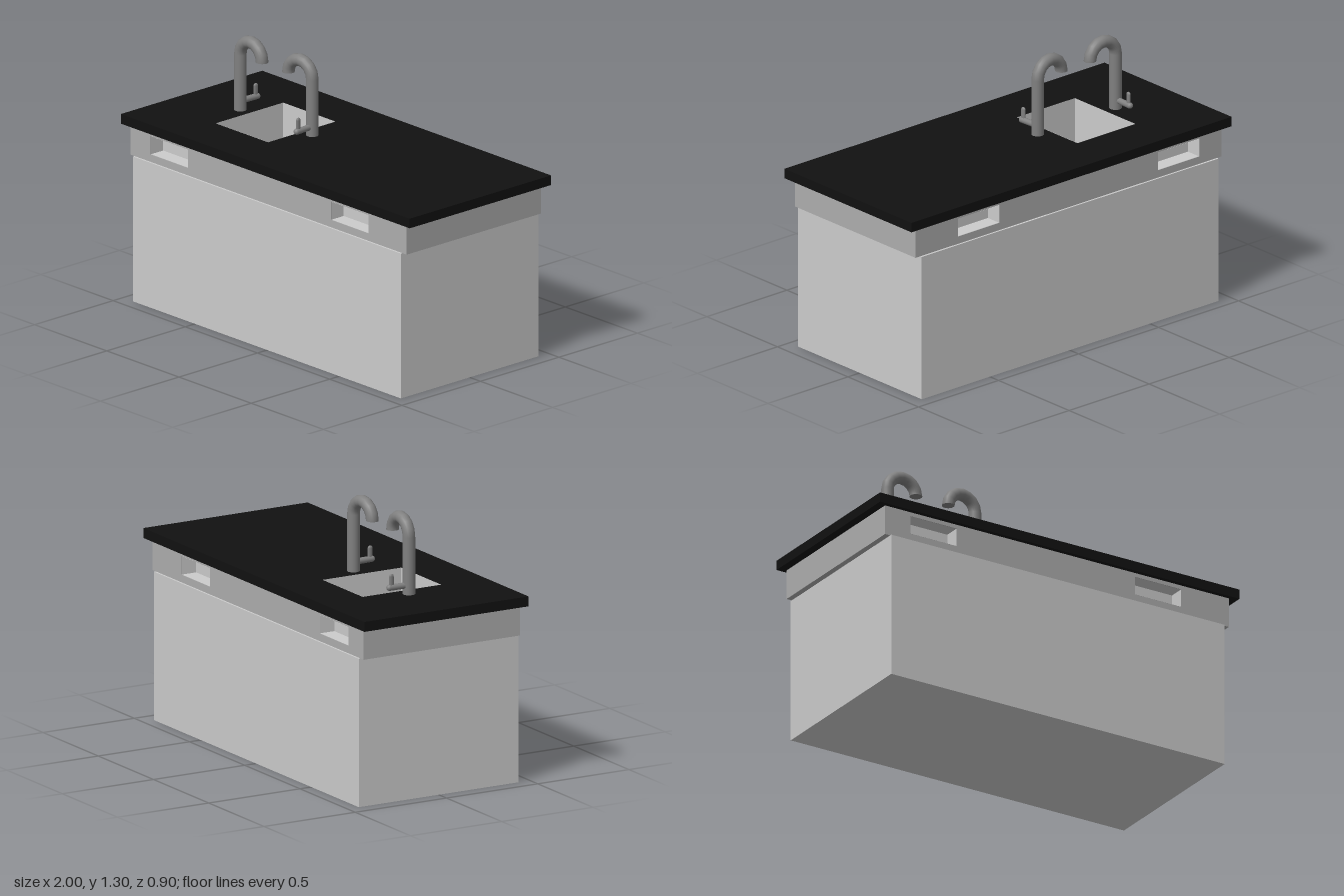
import * as THREE from 'three';

const paint = (color, side = THREE.FrontSide) => new THREE.MeshStandardMaterial({ color, side });
const grey = paint(0xcccccc);
const liner = paint(0xcccccc, THREE.DoubleSide);
const apronGrey = paint(0xadadad);
const black = paint(0x111111);
const metal = paint(0x808080);

const SINK = { x0: -0.605, x1: -0.24, z0: -0.22, z1: 0.212, floor: 0.6 };
const TOP = 0.916, COUNTER = 0.868, BASE = 0.72;

function add(parent, name, geometry, material, x = 0, y = 0, z = 0) {
  const mesh = new THREE.Mesh(geometry, material);
  mesh.name = name;
  mesh.position.set(x, y, z);
  parent.add(mesh);
  return mesh;
}

// Traces a rectangle on a shape or path
function rect(target, x0, x1, y0, y1) {
  target.moveTo(x0, y0).lineTo(x1, y0).lineTo(x1, y1).lineTo(x0, y1).closePath();
  return target;
}

// Horizontal outline with the sink opening cut out
function sinkOutline(x0, x1, halfDepth) {
  const shape = rect(new THREE.Shape(), x0, x1, -halfDepth, halfDepth);
  shape.holes.push(rect(new THREE.Path(), SINK.x0, SINK.x1, -SINK.z1, -SINK.z0));
  return shape;
}

function slab(x0, x1, halfDepth, height) {
  return new THREE.ExtrudeGeometry(sinkOutline(x0, x1, halfDepth), { depth: height, bevelEnabled: false })
    .rotateX(-Math.PI / 2);
}

// Box with its top left off
function openBox(w, h, d) {
  const box = new THREE.BoxGeometry(w, h, d);
  const index = Array.from(box.index.array);
  index.splice(12, 6);
  box.setIndex(index);
  return box;
}

function makeFaucet(name) {
  const faucet = new THREE.Group();
  faucet.name = name;
  const r = 0.03, bend = 0.078, bendY = 0.277;
  add(faucet, 'post', new THREE.CylinderGeometry(r, r, bendY, 20), metal, 0, bendY / 2, 0);
  add(faucet, 'spoutBend', new THREE.TorusGeometry(bend, r, 20, 8, Math.PI), metal, bend, bendY, 0);
  const outlet = add(faucet, 'outlet', new THREE.CircleGeometry(r, 20), metal, 2 * bend, bendY, 0);
  outlet.rotation.x = Math.PI / 2;

  // Side handle with its small upright lever
  const bar = add(faucet, 'handleBar', new THREE.CapsuleGeometry(0.015, 0.09, 4, 14), metal, 0, 0.043, -0.06);
  bar.rotation.x = Math.PI / 2;
  const lever = add(faucet, 'lever', new THREE.CapsuleGeometry(0.013, 0.045, 4, 12), metal, 0, 0.074, -0.095);
  lever.scale.x = 0.6;
  return faucet;
}

export function createModel() {
  const model = new THREE.Group();
  model.name = 'kitchenIsland';

  // Cabinet base and the ledge closing it around the basin
  add(model, 'base', openBox(1.855, BASE, 0.876), grey, -0.002, BASE / 2, 0);
  const ledge = new THREE.ShapeGeometry(sinkOutline(-0.9295, 0.9255, 0.438)).rotateX(-Math.PI / 2);
  add(model, 'baseTop', ledge, grey, 0, BASE, 0);

  // Apron: core plus a pierced panel front and back, forming four recesses
  const apron = new THREE.Group();
  apron.name = 'apron';
  model.add(apron);
  const ax0 = -0.958, ax1 = 0.955, panelDepth = 0.08, apronZ = 0.428;
  const recesses = [[-0.818, -0.56], [0.432, 0.69]];
  const r0 = 0.757, r1 = 0.848;
  add(apron, 'apronCore', slab(ax0, ax1, apronZ - panelDepth, COUNTER - BASE), apronGrey, 0, BASE, 0);

  const panel = rect(new THREE.Shape(), ax0, ax1, BASE, COUNTER);
  for (const [a, b] of recesses) panel.holes.push(rect(new THREE.Path(), a, b, r0, r1));
  const panelGeometry = new THREE.ExtrudeGeometry(panel, { depth: panelDepth, bevelEnabled: false });

  for (const side of [1, -1]) {
    const label = side > 0 ? 'front' : 'back';
    add(apron, label + 'Panel', panelGeometry, apronGrey, 0, 0, side > 0 ? apronZ - panelDepth : -apronZ);
    for (const [a, b] of recesses) {
      // Open box turned so that its mouth faces outward
      const gap = 0.002;
      const pocket = openBox(b - a - gap, panelDepth - gap, r1 - r0 - gap).rotateX(side * Math.PI / 2);
      add(apron, label + 'Recess', pocket, liner, (a + b) / 2, (r0 + r1) / 2,
        side * (apronZ - panelDepth / 2));
    }
  }

  // Countertop with the sink cut-out
  add(model, 'countertop', slab(-1, 1, 0.45, TOP - COUNTER), black, 0, COUNTER, 0);

  // Basin and drain
  const w = SINK.x1 - SINK.x0, d = SINK.z1 - SINK.z0, h = TOP - SINK.floor;
  add(model, 'basin', openBox(w - 0.003, h, d - 0.003), liner,
    (SINK.x0 + SINK.x1) / 2, SINK.floor + h / 2, (SINK.z0 + SINK.z1) / 2);
  add(model, 'drain', new THREE.CylinderGeometry(0.04, 0.04, 0.004, 24), grey, -0.408, SINK.floor + 0.002, -0.068);

  // Facing pair of faucets
  const left = makeFaucet('outerFaucet');
  left.position.set(-0.668, TOP, -0.005);
  left.rotation.y = -0.03;
  const right = makeFaucet('innerFaucet');
  right.position.set(-0.176, TOP, -0.011);
  right.rotation.y = Math.PI + 0.06;
  model.add(left, right);

  return model;
}
